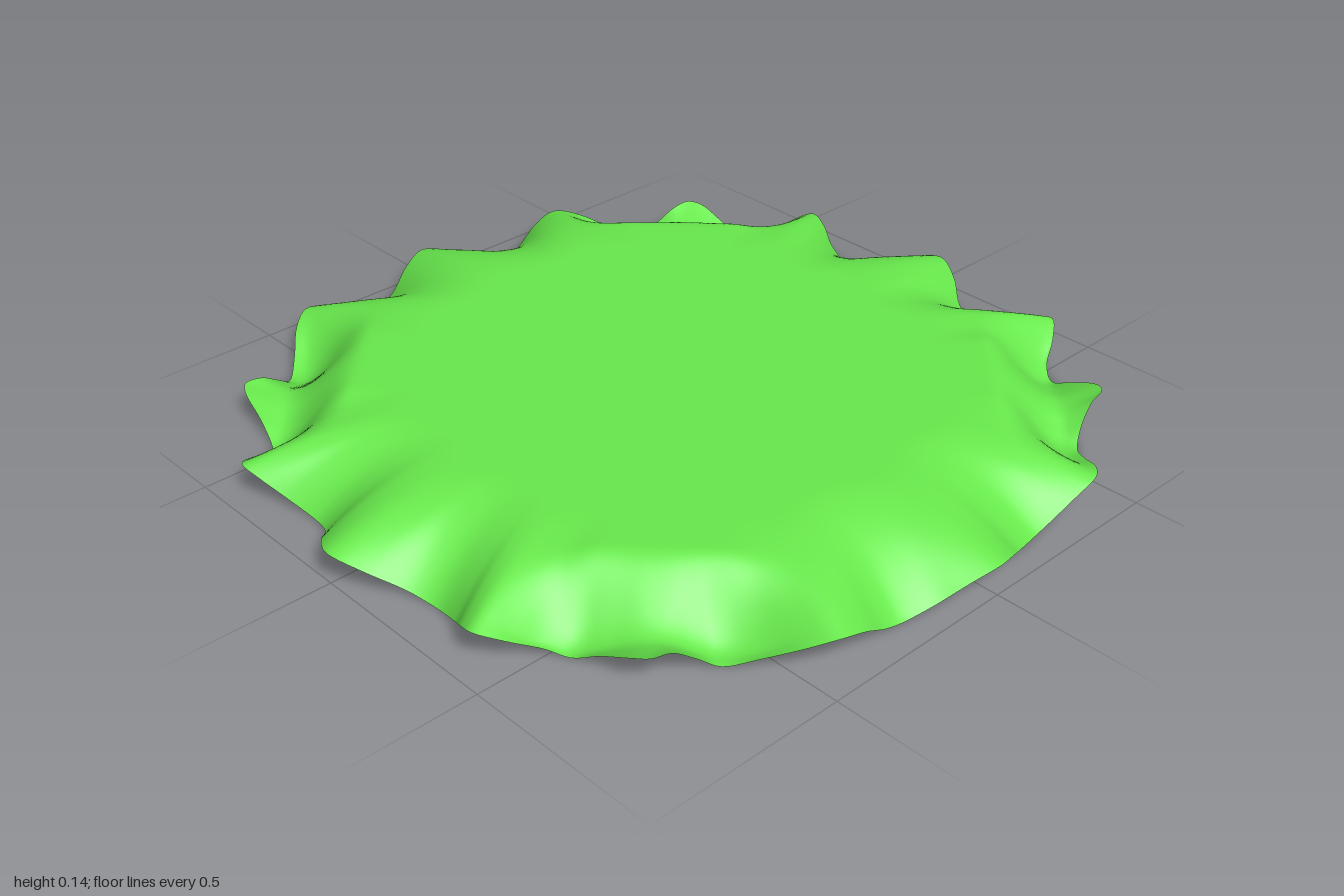
import * as THREE from 'three';

const TOP = 0.14;
const CREST = 0.075;
const RINGS = 56;
const SEGMENTS = 480;

// One quarter of the wavy rim, from the front crest round to the left crest
const QUARTER = [
  [0, 0.075, 1], [0.08, 0.053, 0.965], [0.15, 0.015, 0.91], [0.22, 0, 0.89],
  [0.31, 0.025, 0.908], [0.37, 0.06, 0.935], [0.42, 0.075, 0.943],
  [0.465, 0.05, 0.89], [0.5, 0.016, 0.825], [0.54, 0, 0.793],
  [0.61, 0.035, 0.775], [0.69, 0.07, 0.762], [0.722, 0.075, 0.74],
  [0.73, 0.066, 0.69], [0.745, 0.03, 0.635], [0.77, 0, 0.59],
  [0.825, 0.022, 0.538], [0.895, 0.058, 0.48], [0.937, 0.075, 0.42],
  [0.938, 0.055, 0.35], [0.925, 0.012, 0.27], [0.925, 0, 0.22],
  [0.945, 0.015, 0.145], [0.98, 0.055, 0.07], [1, 0.075, 0],
].map((p) => new THREE.Vector3(...p));

// Mirror the quarter into a closed rim curve
function rimCurve() {
  const flip = (p, sx, sz) => new THREE.Vector3(p.x * sx, p.y, p.z * sz);
  const back = [...QUARTER].reverse();
  const points = [
    ...QUARTER.slice(0, -1),
    ...back.slice(0, -1).map((p) => flip(p, 1, -1)),
    ...QUARTER.slice(0, -1).map((p) => flip(p, -1, -1)),
    ...back.slice(0, -1).map((p) => flip(p, -1, 1)),
  ];
  return new THREE.CatmullRomCurve3(points, true, 'centripetal');
}

// Sides: a gentle fall to the rim, with the ripple growing only near the edge
function sideHeight(t, rim) {
  const u = Math.max(0, (t - 0.65) / 0.35);
  return TOP - (TOP - CREST) * u ** 1.75 + (rim.y - CREST) * u ** 2.6;
}

// Corners: a steep fall to a straight trough, then a flap that turns up
function cornerHeight(t, rim) {
  const rimReach = (Math.abs(rim.x) + Math.abs(rim.z)) / Math.SQRT2;
  const reach = rimReach * t;
  const trough = Math.min(0.935, rimReach - 0.001);
  const low = rim.y * 0.5;
  if (reach < trough) return TOP - (TOP - low) * THREE.MathUtils.smoothstep(reach, 0.75, trough);
  return low + (rim.y - low) * ((reach - trough) / (rimReach - trough)) ** 1.3;
}

function heightAt(t, rim) {
  const angle = Math.atan2(Math.abs(rim.x), Math.abs(rim.z));
  const fromCorner = Math.abs(angle - Math.PI / 4);
  const corner = 1 - THREE.MathUtils.smoothstep(fromCorner, 0.16, 0.38);
  return THREE.MathUtils.lerp(sideHeight(t, rim), cornerHeight(t, rim), corner);
}

function ruffledDisc() {
  const curve = rimCurve();
  const rim = Array.from({ length: SEGMENTS }, (_, j) => curve.getPoint(j / SEGMENTS));
  const positions = [0, TOP, 0];
  const index = [];
  const at = (i, j) => 1 + (i - 1) * SEGMENTS + (j % SEGMENTS);
  for (let i = 1; i <= RINGS; i++) {
    const t = (i / RINGS) ** 0.6; // closer rings near the rim
    for (let j = 0; j < SEGMENTS; j++) {
      const p = rim[j];
      positions.push(p.x * t, heightAt(t, p), p.z * t);
      if (i === 1) index.push(0, at(1, j), at(1, j + 1));
      else {
        index.push(at(i - 1, j), at(i, j), at(i, j + 1));
        index.push(at(i - 1, j), at(i, j + 1), at(i - 1, j + 1));
      }
    }
  }
  const geometry = new THREE.BufferGeometry();
  geometry.setAttribute('position', new THREE.Float32BufferAttribute(positions, 3));
  geometry.setIndex(index);
  geometry.computeVertexNormals();
  return geometry;
}

export function createModel() {
  const group = new THREE.Group();
  const material = new THREE.MeshStandardMaterial({ color: 0x68e94c, side: THREE.DoubleSide });
  const leaf = new THREE.Mesh(ruffledDisc(), material);
  leaf.name = 'ruffledLeaf';
  group.add(leaf);
  return group;
}
